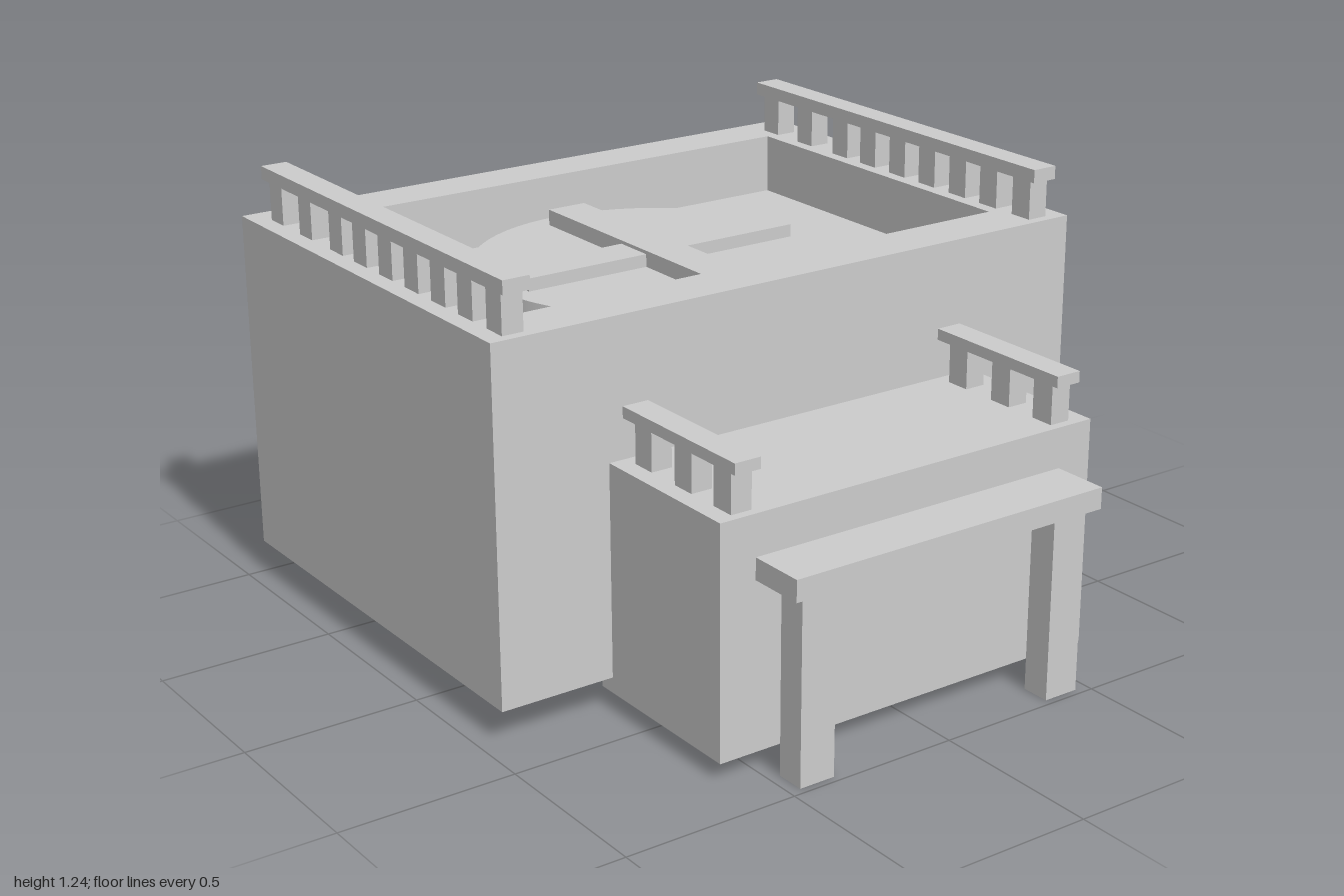
import * as THREE from 'three';

const material = new THREE.MeshStandardMaterial({ color: 0xcccccc, flatShading: true });

export function createModel() {
  const model = new THREE.Group();
  model.name = 'balustradedBlock';

  const add = (name, geometry, parent = model) => {
    const mesh = new THREE.Mesh(geometry, material);
    mesh.name = name;
    parent.add(mesh);
    return mesh;
  };

  // Box given by its limits on each axis
  const box = (name, [x0, x1], [y0, y1], [z0, z1], parent) => {
    const mesh = add(name, new THREE.BoxGeometry(x1 - x0, y1 - y0, z1 - z0), parent);
    mesh.position.set((x0 + x1) / 2, (y0 + y1) / 2, (z0 + z1) / 2);
    return mesh;
  };

  const rectangle = (PathType, x0, x1, z0, z1) => new PathType([
    [x0, -z0], [x0, -z1], [x1, -z1], [x1, -z0],
  ].map(([x, y]) => new THREE.Vector2(x, y)));

  // Main walls around the sunken roof
  const outline = rectangle(THREE.Shape, -0.945, 0.945, -1, 0.353);
  outline.holes.push(rectangle(THREE.Path, -0.79, 0.79, -0.85, 0.197));
  const walls = new THREE.ExtrudeGeometry(outline, { depth: 0.995, bevelEnabled: false });
  walls.rotateX(-Math.PI / 2);
  add('mainWalls', walls).position.y = 0.095;
  box('roofFloor', [-0.79, 0.79], [0.095, 0.915], [-0.85, 0.197]);

  // Round platform with a raised cross
  const disc = add('roofDisc', new THREE.CylinderGeometry(0.51, 0.51, 0.05, 64));
  disc.material = material.clone();
  disc.material.flatShading = false;
  disc.position.set(-0.003, 0.938, -0.338);
  box('crossBarWide', [-0.45, 0.445], [0.95, 1.0], [-0.4, -0.275]);
  box('crossBarLong', [-0.063, 0.06], [0.95, 1.01], [-0.785, 0.107]);

  // Front annex
  box('frontAnnex', [-0.607, 0.605], [0.05, 0.7], [0.302, 0.835]);

  // Porch table against the annex
  box('porchTop', [-0.5, 0.498], [0.523, 0.584], [0.83, 1]);
  for (const x of [-0.413, 0.408]) {
    box('porchLeg', [x - 0.053, x + 0.053], [0, 0.523], [0.895, 0.979]);
  }

  // Balustrade: a row of posts under a handrail
  const balustrade = (name, x, [base, under, top], railZ, postZ) => {
    const group = new THREE.Group();
    group.name = name;
    model.add(group);
    box('handrail', [x - 0.039, x + 0.039], [under, top], railZ, group);
    for (const z of postZ) {
      box('post', [x - 0.031, x + 0.031], [base, under], [z - 0.036, z + 0.036], group);
    }
  };

  const roofPosts = [0.288, 0.149, 0.015, -0.122, -0.258, -0.397, -0.531, -0.708, -0.88];
  for (const x of [-0.863, 0.858]) {
    balustrade('roofBalustrade', x, [1.09, 1.202, 1.24], [-0.947, 0.347], roofPosts);
  }
  for (const x of [-0.525, 0.518]) {
    balustrade('annexBalustrade', x, [0.7, 0.813, 0.845], [0.353, 0.835], [0.773, 0.607, 0.433]);
  }

  return model;
}
